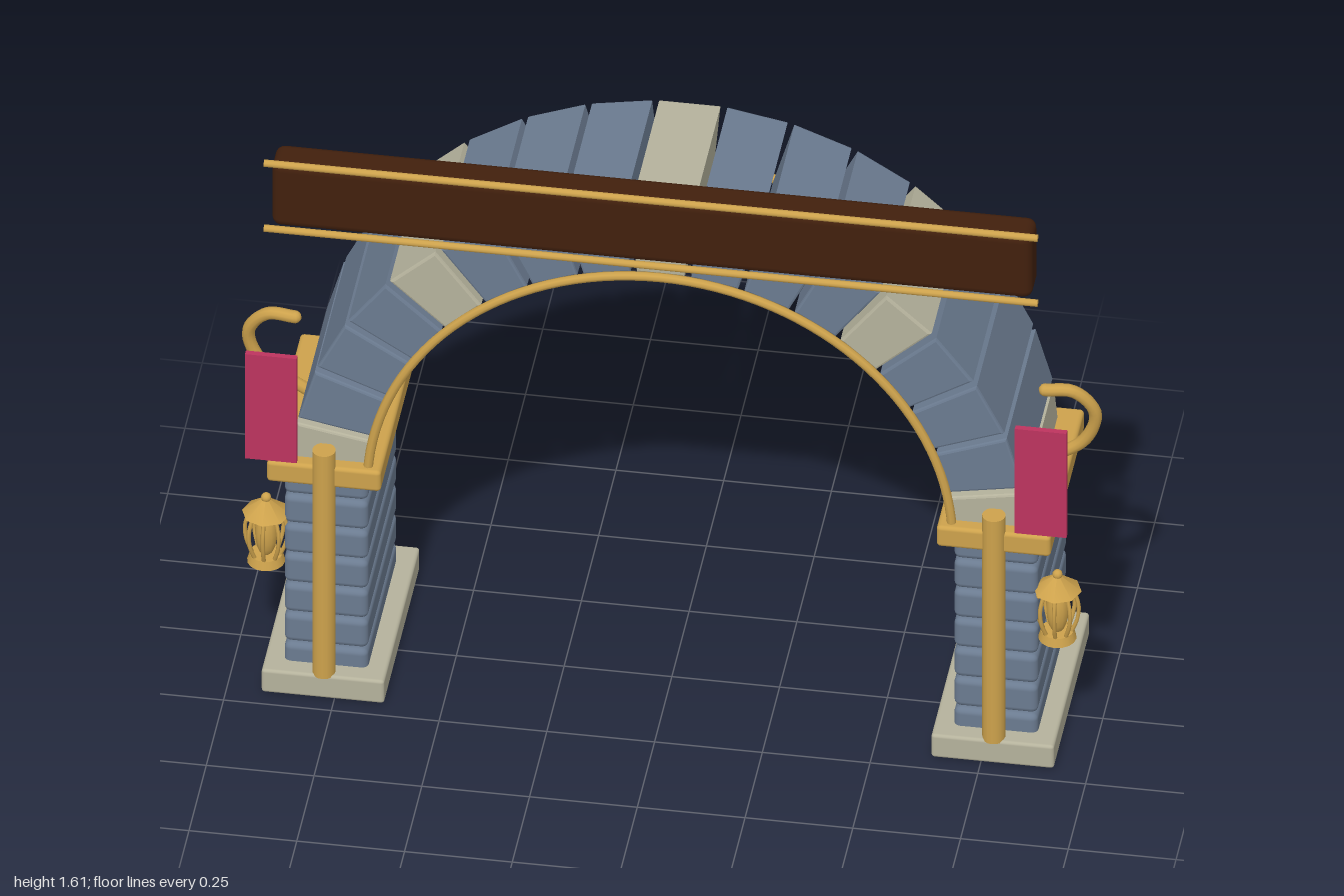
import * as THREE from 'three';
import { RoundedBoxGeometry } from 'three/addons/geometries/RoundedBoxGeometry.js';

const material = (name, color) => {
  const m = new THREE.MeshStandardMaterial({ color });
  m.name = name;
  return m;
};

export function createModel() {
  const slate = material('slate', 0x6b7b90);
  const pale = material('paleStone', 0xb5b29c);
  const gold = material('gold', 0xcda24c);
  const wood = material('darkWood', 0x42200d);
  const crimson = material('crimson', 0xbd345f);

  const model = new THREE.Group();
  model.name = 'archGateway';
  const midZ = -0.051, depth = 0.428, archY = 0.6;

  const add = (parent, name, geometry, mat, x = 0, y = 0, z = 0) => {
    const mesh = new THREE.Mesh(geometry, mat);
    mesh.name = name;
    mesh.position.set(x, y, z);
    parent.add(mesh);
    return mesh;
  };
  const box = (w, h, d, r) => new RoundedBoxGeometry(w, h, d, 2, r);

  // Arch of wedge stones, every fourth one pale
  const count = 17, step = Math.PI / count, bevel = 0.006;
  const half = step * 0.448, inner = 0.68, outer = 0.855;
  const innerW = inner * Math.tan(half) - bevel, outerW = outer * Math.tan(half) - bevel;
  const wedge = new THREE.Shape([
    new THREE.Vector2(-innerW, inner + bevel),
    new THREE.Vector2(innerW, inner + bevel),
    new THREE.Vector2(outerW, outer - bevel),
    new THREE.Vector2(-outerW, outer - bevel),
  ]);
  const wedgeGeometry = new THREE.ExtrudeGeometry(wedge, {
    depth: depth - 2 * bevel, bevelEnabled: true, bevelThickness: bevel,
    bevelSize: bevel, bevelSegments: 2,
  });
  wedgeGeometry.translate(0, 0, -depth / 2 + bevel);
  for (let i = 0; i < count; i++) {
    const stone = add(model, i === 8 ? 'keystone' : 'archStone', wedgeGeometry,
      i % 4 === 0 ? pale : slate, 0, archY, midZ);
    stone.rotation.z = (i + 0.5) * step - Math.PI / 2;
  }

  // Gold trim along the inner edge, front and back
  const trim = new THREE.TorusGeometry(0.679, 0.011, 8, 64, Math.PI);
  add(model, 'frontArchTrim', trim, gold, 0, archY, 0.172);
  add(model, 'backArchTrim', trim, gold, 0, archY, -0.274);

  // Sign beam with gold rails
  add(model, 'signBeam', box(1.765, 0.182, 0.089, 0.022), wood, 0, 1.502, 0.2525);
  for (const y of [1.411, 1.598]) {
    const rail = add(model, 'beamRail', new THREE.CylinderGeometry(0.009, 0.009, 1.795, 10), gold, 0, y, 0.302);
    rail.rotation.z = Math.PI / 2;
  }

  // Lantern: roof, base, core and bulging bars
  const buildLantern = () => {
    const lantern = new THREE.Group();
    lantern.name = 'lantern';
    add(lantern, 'lanternRoof', new THREE.ConeGeometry(0.056, 0.046, 8), gold, 0, 0.068, 0);
    add(lantern, 'lanternKnob', new THREE.SphereGeometry(0.012, 10, 8), gold, 0, 0.088, 0);
    add(lantern, 'lanternBase', new THREE.CylinderGeometry(0.038, 0.044, 0.022, 16), gold, 0, -0.081, 0);
    const core = add(lantern, 'lanternCore', new THREE.SphereGeometry(0.026, 14, 10), gold, 0, -0.012, 0);
    core.scale.y = 2.5;
    const bar = new THREE.TubeGeometry(new THREE.CatmullRomCurve3([
      new THREE.Vector3(0.032, -0.074, 0),
      new THREE.Vector3(0.046, -0.035, 0),
      new THREE.Vector3(0.049, 0.005, 0),
      new THREE.Vector3(0.036, 0.05, 0),
    ]), 10, 0.005, 6);
    for (let i = 0; i < 8; i++) {
      add(lantern, 'lanternBar', bar, gold).rotation.y = i * Math.PI / 4;
    }
    return lantern;
  };

  // The two piers with everything fixed to them
  for (const s of [1, -1]) {
    const pier = new THREE.Group();
    pier.name = s > 0 ? 'leftPier' : 'rightPier';
    model.add(pier);
    const x = s * 0.777;

    add(pier, 'pierFoot', box(0.285, 0.065, 0.518, 0.008), pale, x, 0.0325, midZ);
    for (let i = 0; i < 7; i++) {
      add(pier, 'pierCourse', box(0.195, 0.08, depth, 0.016), slate, x, 0.0725 + i * 0.085, midZ);
    }
    add(pier, 'pierCapital', box(0.265, 0.058, 0.497, 0.01), gold, x, 0.627, -0.053);
    add(pier, 'frontPole', new THREE.CylinderGeometry(0.027, 0.027, 0.64, 16), gold, x, 0.38, 0.187);
    add(pier, 'banner', new THREE.BoxGeometry(0.12, 0.3, 0.014), crimson, s * 0.893, 0.84, 0.227);

    // Curved side bracket
    const path = new THREE.CatmullRomCurve3([
      [0.87, 0.95, 0.025], [0.935, 0.945, 0.015], [0.982, 0.88, 0],
      [0.955, 0.79, -0.01], [0.85, 0.715, -0.015],
    ].map(([px, py, pz]) => new THREE.Vector3(s * px, py, pz)));
    add(pier, 'sideBracket', new THREE.TubeGeometry(path, 28, 0.015, 10), gold);
    add(pier, 'bracketTip', new THREE.SphereGeometry(0.015, 10, 8), gold, s * 0.87, 0.95, 0.025);

    const lantern = buildLantern();
    lantern.position.set(s * 0.918, 0.427, 0.145);
    pier.add(lantern);
  }

  return model;
}
